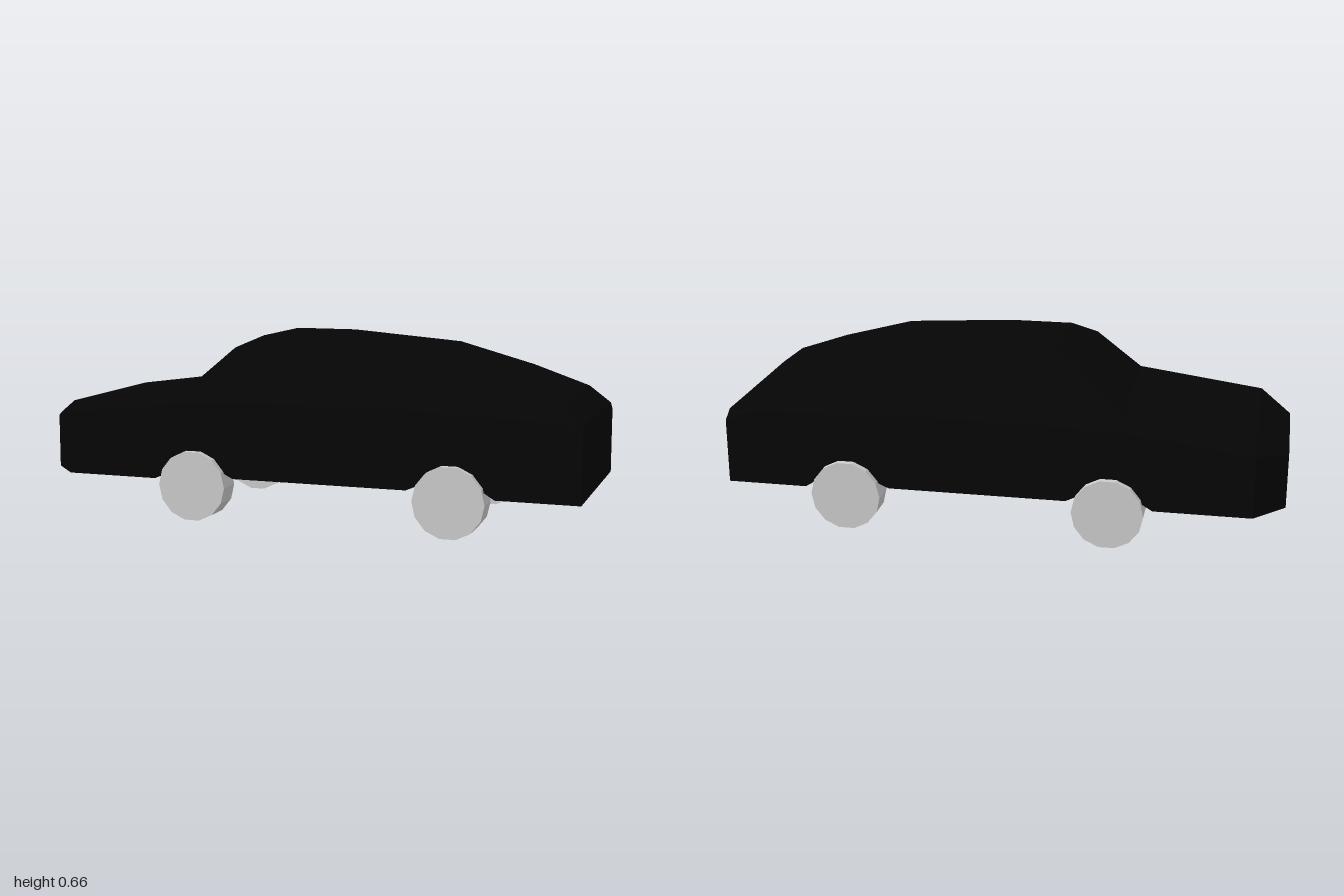
import * as THREE from 'three';

// Piecewise-linear profiles along the car, [x, value]; the nose is at -x
const PROFILES = {
  bottomY: [[-1, .14], [-.545, .14], [-.505, .165], [-.46, .215], [-.32, .215], [-.27, .17], [-.24, .155],
    [.4, .155], [.435, .17], [.485, .215], [.625, .215], [.67, .165], [.71, .14], [1, .14]],
  sideZ: [[-1, .22], [-.89, .34], [1, .34]],
  beltY: [[-1, .335], [-.89, .365], [-.43, .42], [-.1, .432], [.4, .432], [.92, .412], [1, .375]],
  shoulderY: [[-1, .345], [-.89, .405], [-.43, .468], [.92, .465], [1, .405]],
  shoulderZ: [[-1, .2], [-.89, .298], [-.43, .295], [1, .295]],
  roofY: [[-1, .345], [-.89, .405], [-.43, .468], [-.27, .615], [-.18, .657], [.05, .657],
    [.45, .62], [.72, .54], [.92, .465], [1, .405]],
  roofZ: [[-1, .2], [-.89, .298], [-.43, .295], [-.27, .23], [-.18, .18], [.05, .18],
    [.45, .225], [.72, .262], [.92, .295], [1, .295]],
};

function sample(profile, x) {
  let i = 1;
  while (i < profile.length - 1 && x > profile[i][0]) i++;
  const [x0, v0] = profile[i - 1], [x1, v1] = profile[i];
  return v0 + (v1 - v0) * (x - x0) / (x1 - x0);
}

// Cross-section from the +z sill, over the roof, to the -z sill
function section(x) {
  const p = {};
  for (const name in PROFILES) p[name] = sample(PROFILES[name], x);
  const half = [[p.bottomY, p.sideZ], [p.beltY, p.sideZ], [p.shoulderY, p.shoulderZ], [p.roofY, p.roofZ]];
  const left = half.map(([y, z]) => new THREE.Vector3(x, y, z));
  const right = half.map(([y, z]) => new THREE.Vector3(x, y, -z)).reverse();
  return [...left, ...right];
}

function bodyGeometry() {
  const xs = [...new Set(Object.values(PROFILES).flat().map(([x]) => x))].sort((a, b) => a - b);
  const rings = xs.map(section);
  const points = [];
  const triangle = (a, b, c) => {
    if (new THREE.Triangle(a, b, c).getArea() > 1e-7) points.push(a, b, c);
  };
  const n = rings[0].length;
  for (let i = 0; i < rings.length - 1; i++) {
    for (let j = 0; j < n; j++) {
      const k = (j + 1) % n, r = rings[i], s = rings[i + 1];
      triangle(r[j], s[j], r[k]);
      triangle(r[k], s[j], s[k]);
    }
  }
  // Nose and tail panels
  const nose = rings[0], tail = rings[rings.length - 1];
  for (let j = 1; j < n - 1; j++) {
    triangle(nose[0], nose[j], nose[j + 1]);
    triangle(tail[0], tail[j + 1], tail[j]);
  }
  const geometry = new THREE.BufferGeometry().setFromPoints(points);
  geometry.computeVertexNormals();
  return geometry;
}

export function createModel() {
  const car = new THREE.Group();
  car.name = 'car';
  const black = new THREE.MeshStandardMaterial({ color: 0x050505, flatShading: true });
  const grey = new THREE.MeshStandardMaterial({ color: 0xcccccc, flatShading: true });

  const add = (name, geometry, material, x = 0, y = 0, z = 0) => {
    const mesh = new THREE.Mesh(geometry, material);
    mesh.name = name;
    mesh.position.set(x, y, z);
    car.add(mesh);
  };

  add('body', bodyGeometry(), black);

  // Wheels stand on a flat side of the polygon
  const wheel = new THREE.CylinderGeometry(.127, .127, .094, 14, 1, false, Math.PI / 2).rotateX(Math.PI / 2);
  const axle = new THREE.CylinderGeometry(.035, .035, .56, 8).rotateX(Math.PI / 2);
  for (const [end, x] of [['front', -.39], ['rear', .555]]) {
    add(end + 'Axle', axle, black, x, .176, 0);
    add(end + 'LeftWheel', wheel, grey, x, .124, .317);
    add(end + 'RightWheel', wheel, grey, x, .124, -.317);
  }
  // The nose points to -x, so the car's left side is +z
  return car;
}
